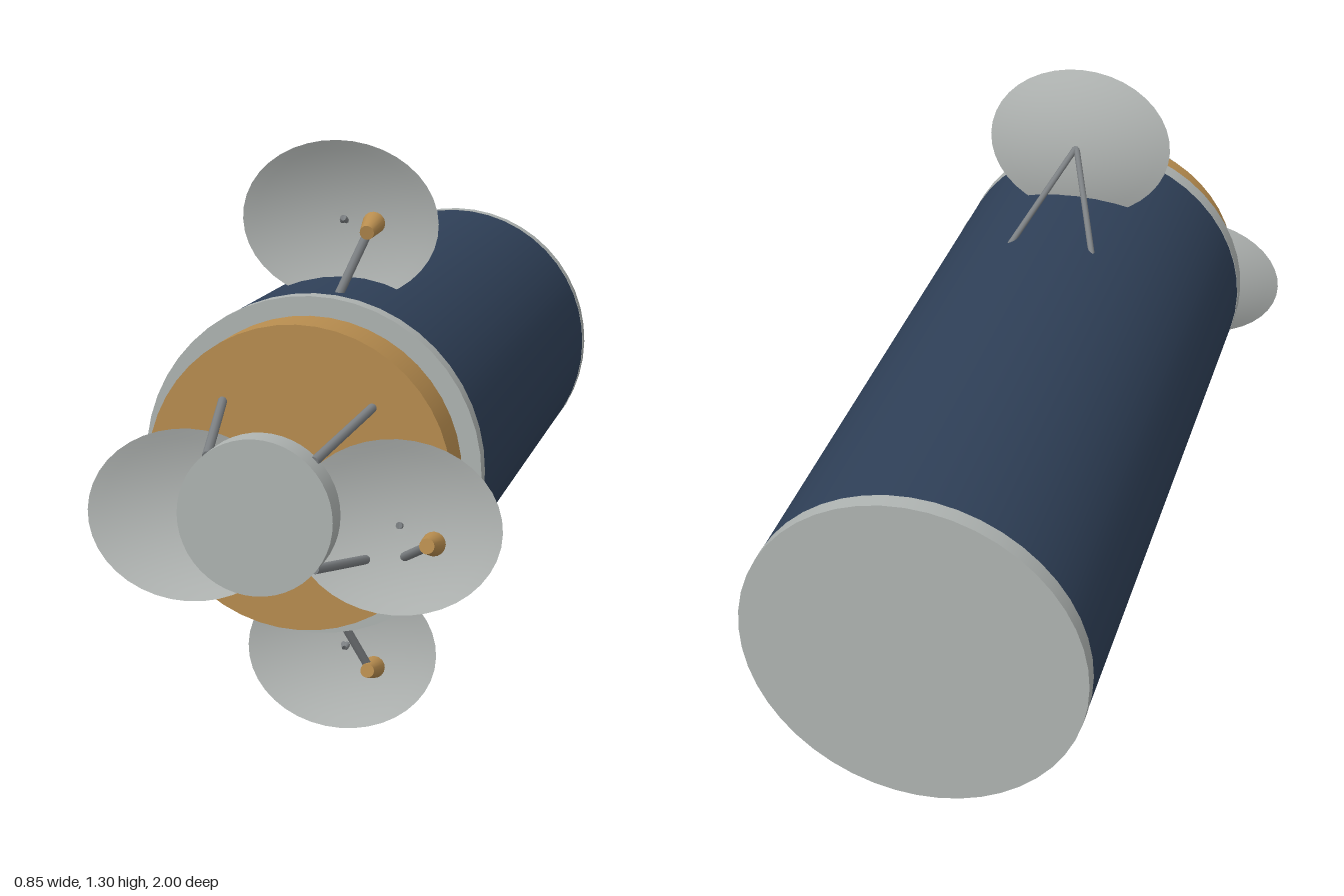
import * as THREE from 'three';

const V = (x, y, z) => new THREE.Vector3(x, y, z);
const CY = 0.658; // height of the long axis

export function createModel() {
  const root = new THREE.Group();
  root.name = 'spacecraft';
  const make = (name, color, side = THREE.FrontSide) => {
    const m = new THREE.MeshStandardMaterial({ color, side });
    m.name = name;
    return m;
  };
  const navy = make('navy', 0x2f4058);
  const gold = make('gold', 0xb88d4f);
  const light = make('lightGrey', 0xafb4b2);
  const dishGrey = make('dishGrey', 0xb2b6b4, THREE.DoubleSide);
  const strutGrey = make('strutGrey', 0x7c8083);

  const add = (parent, name, geometry, material) => {
    const mesh = new THREE.Mesh(geometry, material);
    mesh.name = name;
    parent.add(mesh);
    return mesh;
  };

  // Drum along z between two depths
  const drum = (name, r, z0, z1, material, open = false) => {
    const g = new THREE.CylinderGeometry(r, r, z1 - z0, 48, 1, open).rotateX(Math.PI / 2);
    add(root, name, g, material).position.set(0, CY, (z0 + z1) / 2);
  };

  // Round bar or cone between two points
  const bar = (parent, name, a, b, rA, rB, material, sides = 10) => {
    const mesh = add(parent, name, new THREE.CylinderGeometry(rB, rA, a.distanceTo(b), sides), material);
    mesh.position.copy(a).add(b).multiplyScalar(0.5);
    mesh.quaternion.setFromUnitVectors(V(0, 1, 0), b.clone().sub(a).normalize());
  };

  // Main hull with end bands and front bulkhead
  drum('hull', 0.353, -0.965, 0.54, navy, true);
  drum('rearBand', 0.354, -1, -0.965, light);
  drum('frontBand', 0.354, 0.54, 0.58, light);
  drum('frontBulkhead', 0.314, 0.58, 0.69, gold);

  // Front disc on four legs
  drum('frontDisc', 0.151, 0.94, 1, light);
  for (const sx of [-1, 1]) {
    for (const sy of [-1, 1]) {
      bar(root, 'discLeg', V(sx * 0.157, CY + sy * 0.157, 0.67),
        V(sx * 0.104, CY + sy * 0.104, 0.955), 0.0095, 0.0095, strutGrey);
    }
  }

  // Shallow oval dish, apex at the origin, opening to +z
  const profile = [];
  for (let i = 0; i <= 8; i++) {
    const t = i / 8;
    profile.push(new THREE.Vector2(0.213 * t, 0.038 * t * t));
  }
  const dishGeometry = new THREE.LatheGeometry(profile, 40).rotateX(Math.PI / 2).scale(1, 0.82, 1);

  // Dish with feed horn, horn arm and back struts; dir is the side the rim leans forward
  const antenna = (name, pos, dir, armBase, strutBases) => {
    const g = new THREE.Group();
    g.name = name;
    g.position.copy(pos);
    root.add(g);
    add(g, 'dish', dishGeometry, dishGrey).rotation.x = dir * 0.115;
    bar(g, 'feedHorn', V(0.09, dir * 0.004, 0.108), V(0.09, -dir * 0.009, 0.173), 0.024, 0.015, gold, 16);
    bar(g, 'hornArm', armBase, V(0.09, -dir * 0.003, 0.145), 0.0095, 0.0095, strutGrey);
    for (const base of strutBases) {
      bar(g, 'dishStrut', base, V(0, 0, 0.006), 0.007, 0.007, strutGrey);
    }
  };

  // Upper and lower antennas
  for (const s of [1, -1]) {
    antenna(s > 0 ? 'upperAntenna' : 'lowerAntenna', V(0, CY + s * 0.479, 0.29), s,
      V(0.028, -s * 0.16, 0.217),
      [-1, 1].map((k) => V(k * 0.098, -s * 0.15, -0.235)));
  }

  // Pair of antennas on the bulkhead
  for (const s of [1, -1]) {
    antenna(s > 0 ? 'leftFrontAntenna' : 'rightFrontAntenna', V(s * 0.213, 0.581, 0.704), -1,
      V(s > 0 ? -0.01 : 0.1, -0.08, -0.03),
      [-1, 1].map((k) => V(k * 0.02, -0.02, -0.1)));
  }
  return root;
}
